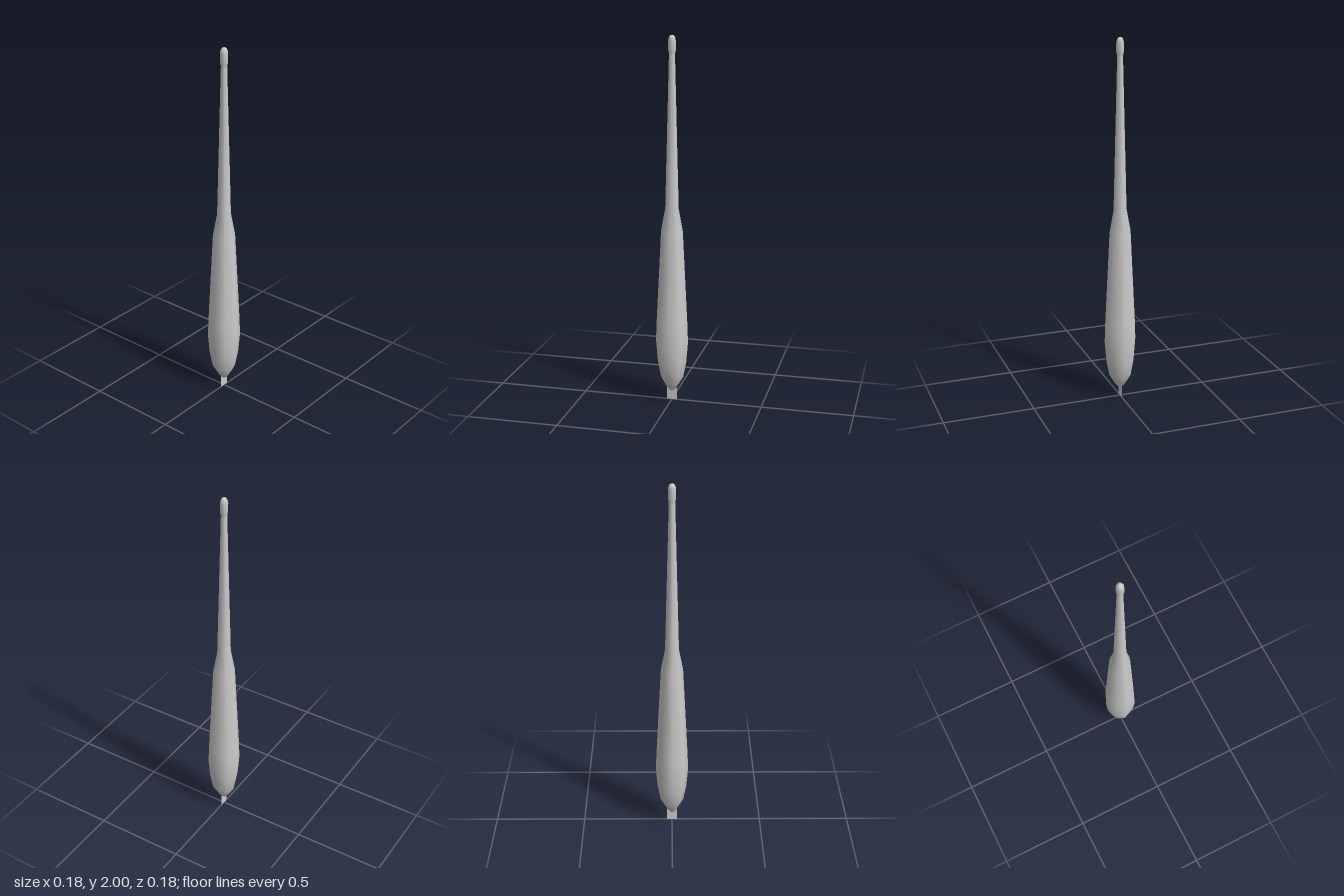
import * as THREE from 'three';

const SIDES = 8;

// Smooth eight-sided turned part from [radius, height] pairs, bottom to top
function turned(name, profile, material) {
  const points = profile.map(([r, y]) => new THREE.Vector2(r, y));
  const mesh = new THREE.Mesh(new THREE.LatheGeometry(points, SIDES), material);
  mesh.name = name;
  return mesh;
}

export function createModel() {
  const group = new THREE.Group();
  group.name = 'float';
  const material = new THREE.MeshStandardMaterial({ color: 0xcccccc });
  const thin = new THREE.MeshStandardMaterial({ color: 0xcccccc, side: THREE.DoubleSide });

  // Swollen body narrowing through a shoulder into the slender stem
  group.add(turned('bodyAndStem', [
    [0, 0.05], [0.012, 0.055], [0.032, 0.08], [0.064, 0.135], [0.081, 0.225],
    [0.09, 0.335], [0.087, 0.43], [0.06, 0.96], [0.037, 1.085], [0.016, 1.91],
  ], material));

  // Rounded bulb on the tip
  group.add(turned('tipBulb', [
    [0.016, 1.9], [0.021, 1.925], [0.021, 1.97], [0.018, 1.985], [0.011, 1.997], [0, 2],
  ], material));

  // Flat tab under the body
  const tab = new THREE.Mesh(new THREE.PlaneGeometry(0.058, 0.068), thin);
  tab.name = 'bottomTab';
  tab.position.y = 0.034;
  group.add(tab);

  return group;
}
